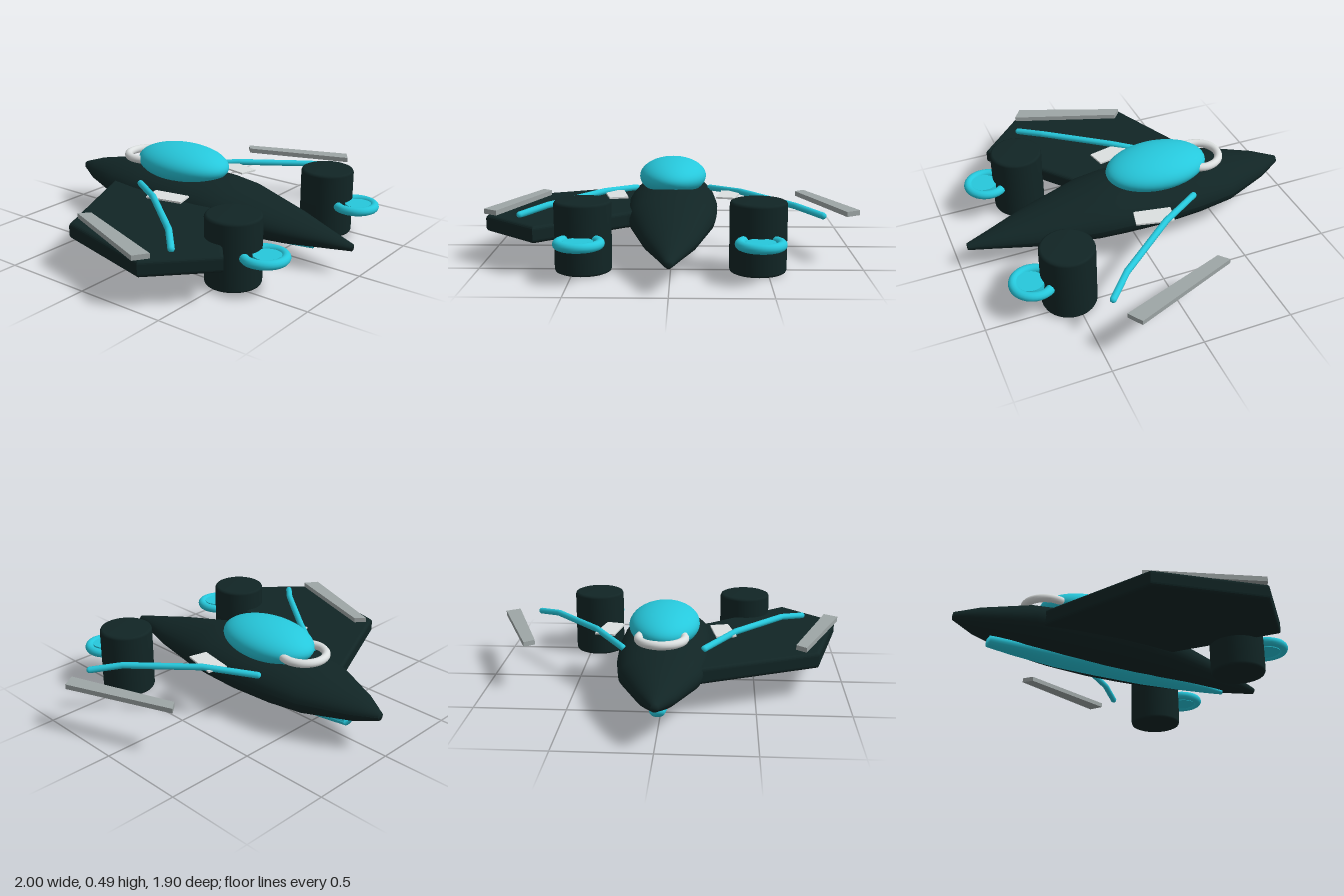
import * as THREE from 'three';

const mat = (name, color, side = THREE.FrontSide) => {
  const m = new THREE.MeshStandardMaterial({ color, side });
  m.name = name;
  return m;
};

// Loft of ellipses along z: each section is [z, halfWidth, bottomY, topY]
function loft(sections, sides = 36) {
  const pos = [], idx = [];
  for (const [z, w, lo, hi] of sections) {
    for (let i = 0; i <= sides; i++) {
      const a = (i / sides) * Math.PI * 2;
      pos.push(Math.cos(a) * w, (lo + hi) / 2 + Math.sin(a) * (hi - lo) / 2, z);
    }
  }
  const row = sides + 1;
  for (let s = 0; s < sections.length - 1; s++) {
    for (let i = 0; i < sides; i++) {
      const a = s * row + i, b = a + 1, c = a + row, d = c + 1;
      idx.push(a, b, c, b, d, c);
    }
  }
  // End caps
  const last = (sections.length - 1) * row;
  for (let i = 1; i < sides - 1; i++) {
    idx.push(0, i + 1, i, last, last + i, last + i + 1);
  }
  const g = new THREE.BufferGeometry();
  g.setAttribute('position', new THREE.Float32BufferAttribute(pos, 3));
  g.setIndex(idx);
  g.computeVertexNormals();
  return g;
}

// Flat slab from a plan outline of [x, z] points, between heights y0 and y1
function slab(points, y0, y1, bevel = 0) {
  const shape = new THREE.Shape(points.map(([x, z]) => new THREE.Vector2(x, -z)));
  const g = new THREE.ExtrudeGeometry(shape, {
    depth: y1 - y0 - 2 * bevel, bevelEnabled: bevel > 0, bevelThickness: bevel,
    bevelSize: bevel, bevelOffset: -bevel, bevelSegments: 4,
  });
  g.rotateX(-Math.PI / 2);
  g.translate(0, y0 + bevel, 0);
  return g;
}

export function createModel() {
  const group = new THREE.Group();
  const dark = mat('dark hull', 0x112525);
  const cyan = mat('cyan trim', 0x26c8dc);
  const light = mat('light grey', 0xdce0e0);
  const grey = mat('mid grey', 0x9ea6a6);

  const add = (name, geometry, material, x = 0, y = 0, z = 0) => {
    const m = new THREE.Mesh(geometry, material);
    m.name = name;
    m.position.set(x, y, z);
    group.add(m);
    return m;
  };

  // Spindle hull, tail at -z and nose at +z
  add('fuselage', loft([
    [-0.95, 0.02, 0.19, 0.235], [-0.82, 0.1, 0.145, 0.28], [-0.56, 0.215, 0.1, 0.335],
    [-0.35, 0.245, 0.08, 0.35], [-0.1, 0.258, 0.07, 0.353], [0.1, 0.25, 0.07, 0.35],
    [0.25, 0.235, 0.073, 0.335], [0.6, 0.145, 0.09, 0.255],
    [0.82, 0.065, 0.113, 0.198], [0.95, 0.02, 0.127, 0.165],
  ]), dark);

  // Belly keel
  add('keel', loft([
    [-0.75, 0.04, 0.08, 0.14], [-0.6, 0.06, 0.066, 0.15], [-0.35, 0.08, 0.05, 0.16],
    [-0.1, 0.085, 0.05, 0.16], [0.2, 0.08, 0.052, 0.16], [0.45, 0.06, 0.064, 0.14],
    [0.6, 0.04, 0.074, 0.12], [0.72, 0.015, 0.082, 0.105],
  ], 24), cyan);

  // Bubble canopy with the hoop behind it
  const dome = new THREE.SphereGeometry(1, 40, 28);
  dome.scale(0.192, 0.105, 0.295);
  add('canopy', dome, cyan, 0, 0.385, -0.165);
  const hoop = new THREE.TorusGeometry(0.121, 0.023, 14, 48);
  hoop.rotateX(Math.PI / 2);
  add('canopyHoop', hoop, light, 0, 0.384, -0.425);

  // Single wing on one side
  add('wing', slab([
    [-0.1, -0.57], [-0.84, -0.24], [-0.985, 0.36], [-0.69, 0.645], [-0.24, 0.28], [-0.1, 0.2],
  ], 0.167, 0.256, 0.02), dark);

  // Rounded-edge engine profile
  const can = new THREE.LatheGeometry([
    [0, 0], [0.132, 0], [0.143, 0.005], [0.148, 0.016],
    [0.148, 0.356], [0.143, 0.367], [0.132, 0.372], [0, 0.372],
  ].map(([x, y]) => new THREE.Vector2(x, y)), 40);
  const ring = new THREE.TorusGeometry(0.105, 0.025, 14, 40);
  ring.rotateX(Math.PI / 2);
  const disc = new THREE.CylinderGeometry(0.074, 0.074, 0.03, 32);

  for (const s of [-1, 1]) {
    const side = s > 0 ? 'left' : 'right';
    add(side + 'Engine', can, dark, s * 0.45, 0, 0.525);
    add(side + 'EngineRing', ring, cyan, s * 0.45, 0.19, 0.715);
    add(side + 'EngineDisc', disc, cyan, s * 0.45, 0.19, 0.732);

    const mirrored = (pts) => {
      const p = pts.map(([x, z]) => [s * x, z]);
      return s > 0 ? p : p.reverse();
    };
    // Wingtip bar and small plate beside the hull
    add(side + 'TipBar', slab(mirrored(
      [[0.717, -0.2], [0.925, 0.39], [1.0, 0.34], [0.77, -0.246]]), 0.258, 0.285), grey);
    add(side + 'Plate', slab(mirrored(
      [[0.283, -0.13], [0.246, 0.075], [0.348, 0.1], [0.395, -0.105]]), 0.292, 0.302), light);

    // Bent strut made of straight lengths
    const path = new THREE.CurvePath();
    const pts = [[0.22, 0.287, -0.3], [0.39, 0.308, -0.055], [0.665, 0.295, 0.285], [0.795, 0.268, 0.41]]
      .map(([x, y, z]) => new THREE.Vector3(s * x, y, z));
    for (let i = 0; i < 3; i++) path.add(new THREE.LineCurve3(pts[i], pts[i + 1]));
    add(side + 'Strut', new THREE.TubeGeometry(path, 40, 0.018, 12), cyan);
    // Strut end caps
    for (const p of [pts[0], pts[3]]) {
      add(side + 'StrutEnd', new THREE.SphereGeometry(0.018, 12, 8), cyan, p.x, p.y, p.z);
    }
  }
  return group;
}
